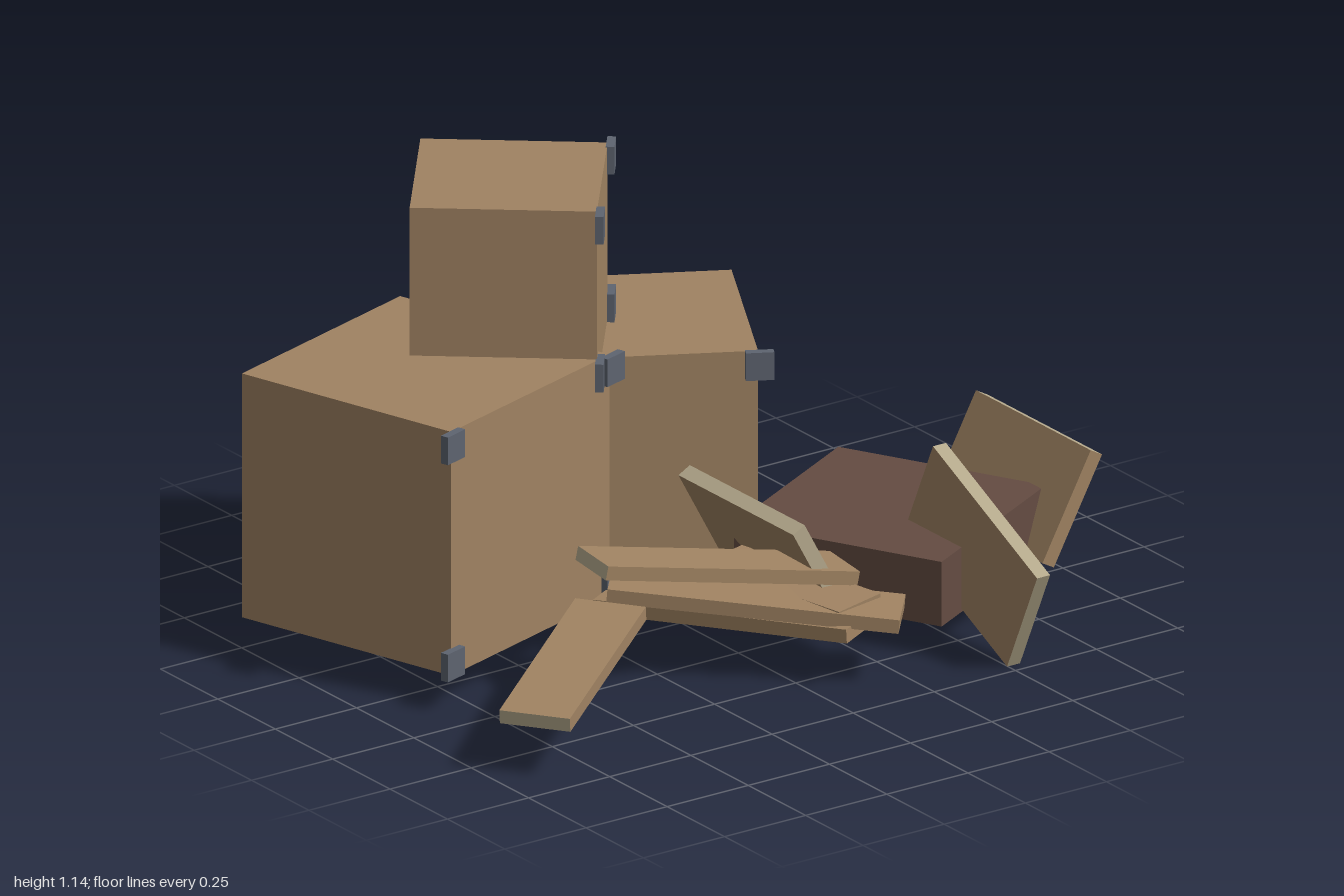
import * as THREE from 'three';

const mat = (name, color) => {
  const m = new THREE.MeshStandardMaterial({ color });
  m.name = name;
  return m;
};

export function createModel() {
  const root = new THREE.Group();
  root.name = 'cratePile';
  const wood = mat('crateBrown', 0xa08362);
  const darkWood = mat('darkBrown', 0x644c42);
  const pale = mat('paleCutEdge', 0xb5a98c);
  const iron = mat('blueGreyIron', 0x5e6470);

  const box = (parent, name, size, pos, material) => {
    const m = new THREE.Mesh(new THREE.BoxGeometry(...size), material);
    m.name = name;
    m.position.set(...pos);
    parent.add(m);
    return m;
  };

  // Cube crate with four iron corner plates on one face ('x' or 'z')
  const crate = (name, size, pos, turn, face) => {
    const g = new THREE.Group();
    g.name = name;
    g.position.set(...pos);
    g.rotation.y = turn;
    root.add(g);
    box(g, name + 'Body', [size, size, size], [0, 0, 0], wood);
    const out = size / 2 + 0.008;
    for (const a of [-1, 1]) for (const b of [-1, 1]) {
      const side = a * (size / 2 + 0.003), up = b * (size / 2 - 0.036);
      if (face === 'x') box(g, 'cornerPlate', [0.022, 0.075, 0.072], [out, up, side], iron);
      else box(g, 'cornerPlate', [0.072, 0.075, 0.022], [side, up, out], iron);
    }
  };
  crate('largeCrate', 0.66, [-0.585, 0.42, -0.285], 0.308, 'z');
  crate('mediumCrate', 0.555, [0.19, 0.3675, -0.4675], -0.495, 'z');
  crate('topCrate', 0.472, [-0.253, 0.914, -0.393], -0.673, 'x');

  // Low dark crate
  box(root, 'lowCrate', [0.584, 0.175, 0.584], [0.52, 0.178, 0.175], darkWood).rotation.y = 0.49;

  // Loose side panels around the low crate: position, turn, lean, roll
  const panelMats = [pale, wood, pale, wood, wood, wood];
  [
    ['leftPanel', [0.905, 0.246, 0.175], Math.PI / 2, 0.5, 0],
    ['rightPanel', [0.137, 0.246, 0.175], -Math.PI / 2, 0.5, 0],
    ['frontPanel', [0.518, 0.253, 0.555], -Math.PI / 2, 0, -0.435],
  ].forEach(([name, pos, turn, lean, roll]) => {
    box(root, name, [0.5, 0.31, 0.04], pos, panelMats).rotation.set(lean, turn, roll, 'YXZ');
  });

  // Scattered planks: length, width, centre, turn, tilt
  const plankMats = [wood, pale, wood, wood, wood, wood];
  [
    [0.61, 0.187, [-0.66, 0.195, 0.462], 0.634, 0.123],
    [0.735, 0.16, [-0.12, 0.297, 0.33], -0.12, -0.205],
    [0.74, 0.18, [-0.03, 0.2, 0.369], -0.7, -0.08],
    [0.71, 0.19, [-0.01, 0.13, 0.256], -1.07, 0.06],
    [0.45, 0.165, [0.1, 0.195, 0.335], -1.3, -0.04],
  ].forEach(([len, width, pos, turn, tilt], i) => {
    box(root, 'plank' + (i + 1), [len, 0.037, width], pos, plankMats).rotation.set(0, turn, tilt, 'YZX');
  });

  return root;
}
